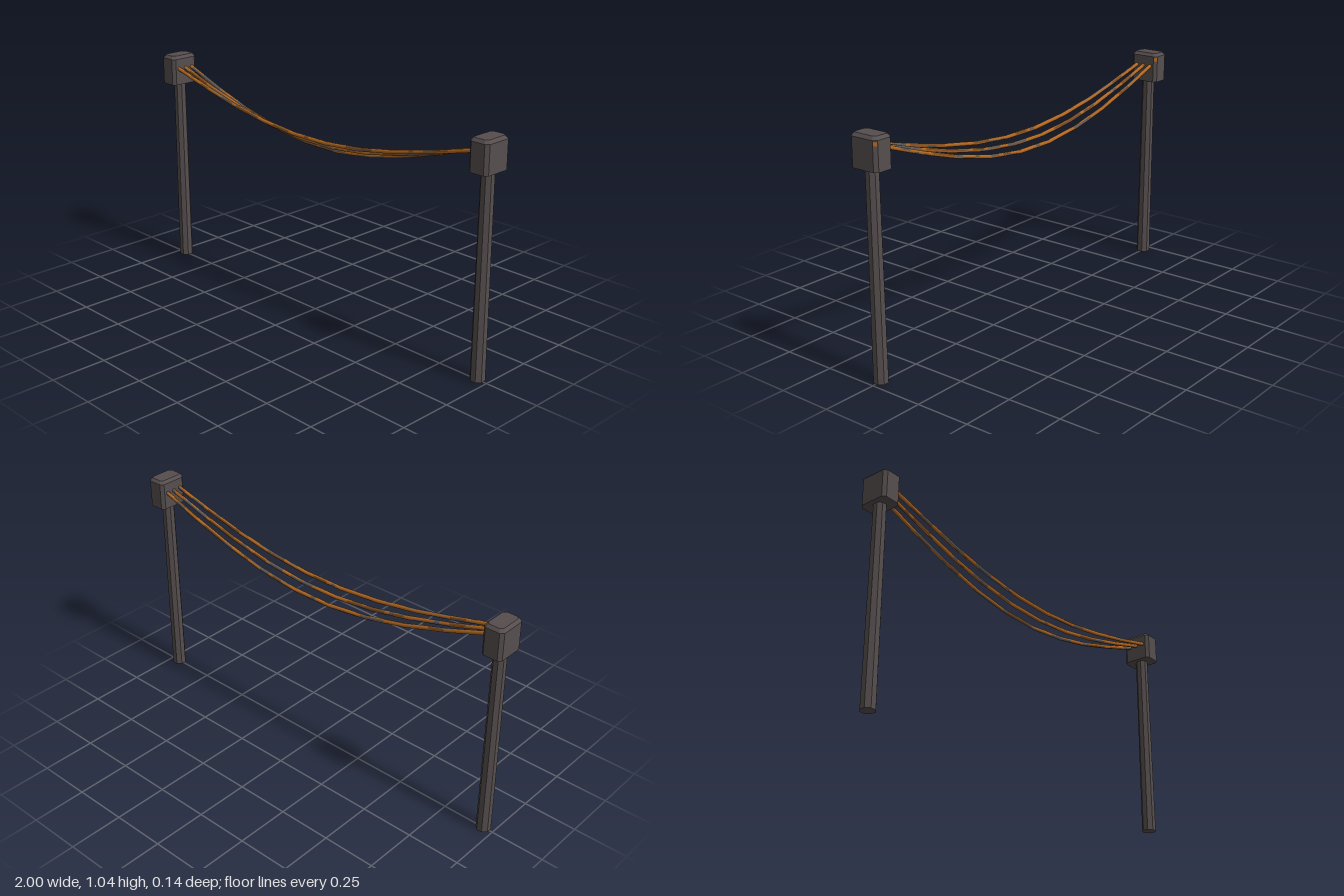
import * as THREE from 'three';

const paint = (name, color) => {
  const m = new THREE.MeshStandardMaterial({ color });
  m.name = name;
  return m;
};
const iron = paint('dark iron', 0x564e4e);
const rust = paint('rust orange', 0xb56a22);
const brown = paint('rust brown', 0x7e4c20);
const steel = paint('worn steel', 0x5e5a5a);

const POST_X = 0.953;

function mesh(name, geometry, material) {
  const m = new THREE.Mesh(geometry, material);
  m.name = name;
  return m;
}

// flat-shaded copy of a geometry
function faceted(geometry) {
  const g = geometry.index ? geometry.toNonIndexed() : geometry;
  g.computeVertexNormals();
  return g;
}

// rectangle with cut corners, as [x, z] points
function cutRect(w, d, c) {
  return [[w, d - c], [w - c, d], [c - w, d], [-w, d - c], [-w, c - d], [c - w, -d], [w - c, -d], [w, c - d]];
}

// cap block: cut-corner rings stacked upwards, closed at both ends
function capGeometry() {
  const rings = [
    [0.902, cutRect(0.047, 0.07, 0.014)],
    [1.028, cutRect(0.047, 0.07, 0.014)],
    [1.042, cutRect(0.036, 0.059, 0.012)],
  ];
  const pos = [], index = [];
  rings.forEach(([y, ring]) => ring.forEach(([x, z]) => pos.push(x, y, z)));
  for (let r = 0; r < 2; r++) {
    for (let i = 0; i < 8; i++) {
      const a = r * 8 + i, b = r * 8 + (i + 1) % 8;
      index.push(a, a + 8, b, b, a + 8, b + 8);
    }
  }
  for (let i = 1; i < 7; i++) {
    index.push(0, i, i + 1);
    index.push(16, 16 + i + 1, 16 + i);
  }
  const g = new THREE.BufferGeometry();
  g.setAttribute('position', new THREE.Float32BufferAttribute(pos, 3));
  g.setIndex(index);
  return faceted(g);
}

// hanging line made of nine straight spans
class SagCurve extends THREE.Curve {
  constructor(z, sag) {
    super();
    this.z = z;
    this.sag = sag;
  }
  getPoint(t, target = new THREE.Vector3()) {
    const k = Math.min(8, Math.floor(t * 9));
    const height = (i) => 0.983 - this.sag * Math.sin(Math.PI * i / 9);
    const y = THREE.MathUtils.lerp(height(k), height(k + 1), t * 9 - k);
    return target.set((t - 0.5) * 1.83, y, this.z);
  }
  getPointAt(t, target) { return this.getPoint(t, target); }
  getTangentAt(t, target) { return this.getTangent(t, target); }
}

// cable with its faces shared between rust and bare steel in short streaks
function cable(z, sag, seed) {
  const sides = 6, steps = 72;
  const random = () => (seed = (seed * 16807) % 2147483647) / 2147483647;
  const g = new THREE.TubeGeometry(new SagCurve(z, sag), steps, 0.009, sides, false);
  const source = Array.from(g.index.array);
  const buckets = [[], [], []];
  const streak = new Array(sides).fill(0);
  for (let j = 0; j < steps; j++) {
    for (let i = 0; i < sides; i++) {
      if (random() < 0.4) {
        const r = random();
        streak[i] = r < 0.6 ? 0 : r < 0.78 ? 1 : 2;
      }
      const at = (j * sides + i) * 6;
      buckets[streak[i]].push(...source.slice(at, at + 6));
    }
  }
  g.setIndex(buckets.flat());
  let start = 0;
  buckets.forEach((b, m) => {
    g.addGroup(start, b.length, m);
    start += b.length;
  });
  return mesh('cable', g, [rust, brown, steel]);
}

export function createModel() {
  const model = new THREE.Group();
  model.name = 'cable span';

  // two posts with cap blocks
  const pole = faceted(new THREE.CylinderGeometry(0.029, 0.033, 0.91, 8).rotateY(Math.PI / 8));
  const cap = capGeometry();
  for (const side of [-1, 1]) {
    const post = new THREE.Group();
    post.name = side > 0 ? 'leftPost' : 'rightPost';
    const shaft = mesh('pole', pole, iron);
    shaft.position.y = 0.455;
    post.add(shaft, mesh('capBlock', cap, iron));

    // rust spot on the rear corner of the cap
    const spot = mesh('rustSpot', new THREE.BoxGeometry(0.014, 0.018, 0.002), rust);
    spot.position.set(0.04, 1.015, -0.063);
    spot.rotation.y = Math.PI * 0.75;
    post.add(spot);
    post.position.x = side * POST_X;
    model.add(post);
  }

  // three cables, hanging lower towards the back
  [[0.038, 0.156, 11], [0, 0.182, 2357], [-0.037, 0.209, 90127]].forEach(([z, sag, seed]) => {
    model.add(cable(z, sag, seed));
  });
  return model;
}
